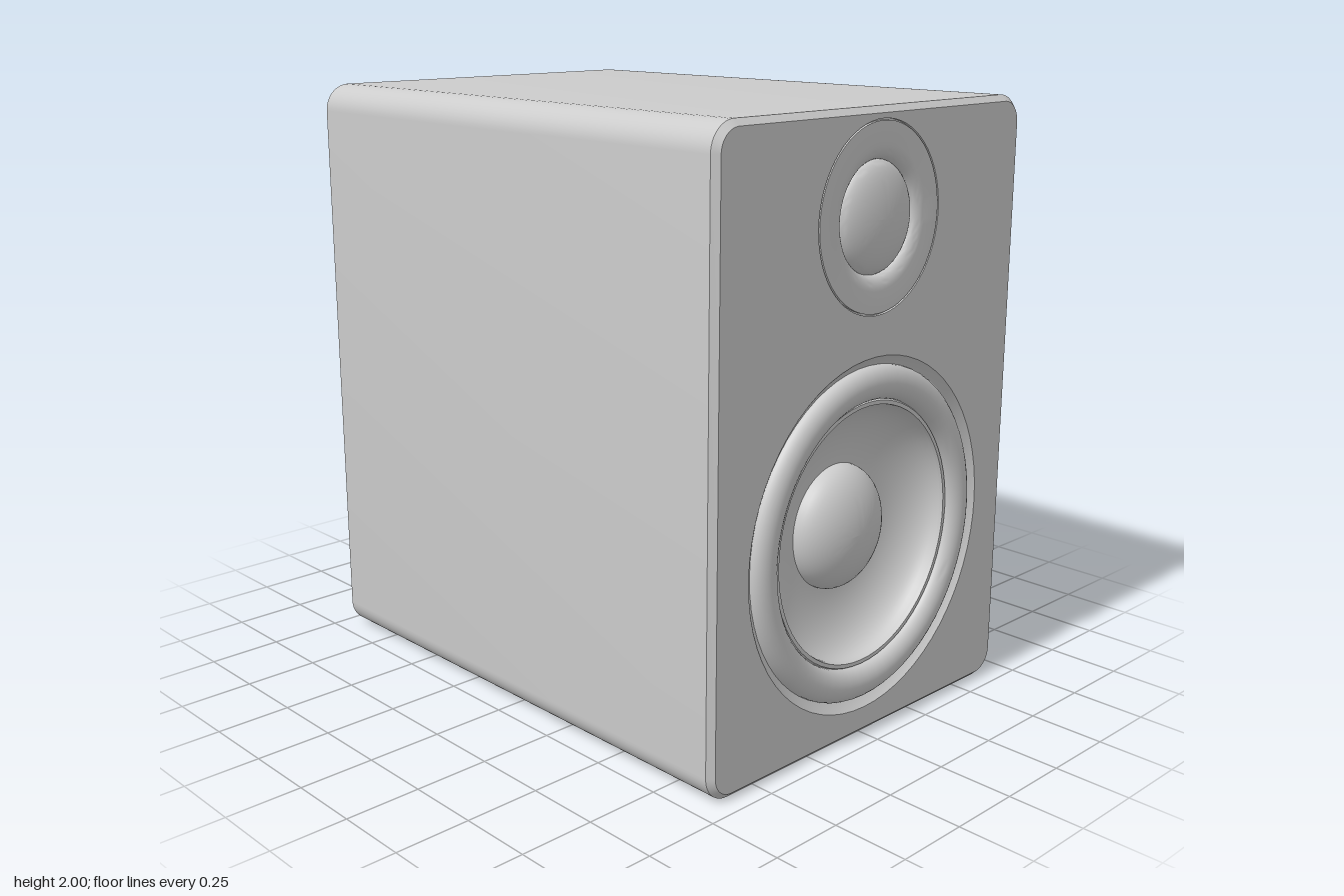
import * as THREE from 'three';
import { toCreasedNormals } from 'three/addons/utils/BufferGeometryUtils.js';

const FACE = 0.94, BACK = -0.97, BEVEL = 0.02;
const HALF_W = 0.7, HEIGHT = 2, CORNER = 0.09;
const OVAL = 1.05; // drivers are slightly taller than wide
const WOOFER_Y = 0.67, TWEETER_Y = 1.67;
const WOOFER_R = 0.55, TWEETER_R = 0.28;

const material = new THREE.MeshStandardMaterial({ color: 0xcccccc });

function addMesh(parent, name, geometry) {
  const mesh = new THREE.Mesh(geometry, material);
  mesh.name = name;
  parent.add(mesh);
}

// Rounded rectangle of the cabinet section, shrunk by an inset
function outline(inset) {
  const r = CORNER - inset, w = HALF_W - CORNER, lo = CORNER, hi = HEIGHT - CORNER;
  const q = Math.PI / 2;
  const s = new THREE.Shape();
  s.absarc(w, hi, r, 0, q);
  s.absarc(-w, hi, r, q, 2 * q);
  s.absarc(-w, lo, r, 2 * q, 3 * q);
  s.absarc(w, lo, r, 3 * q, 4 * q);
  return s;
}

// Side walls and bevels, joined from rings along the depth
function cabinetWalls() {
  const rings = [[BACK, BEVEL], [BACK + BEVEL, 0], [FACE - BEVEL, 0], [FACE, BEVEL]]
    .map(([d, inset]) => outline(inset).getPoints(6).map(p => new THREE.Vector3(p.x, p.y, d)));
  const points = [];
  for (let i = 0; i < rings.length - 1; i++) {
    const a = rings[i], b = rings[i + 1], n = a.length;
    for (let j = 0; j < n; j++) {
      const k = (j + 1) % n;
      points.push(a[j], a[k], b[k], a[j], b[k], b[j]);
    }
  }
  const g = new THREE.BufferGeometry().setFromPoints(points);
  return toCreasedNormals(g, 0.6).rotateY(Math.PI / 2);
}

function hole(y, r) {
  const p = new THREE.Path();
  p.absellipse(0, y, r, r * OVAL, 0, Math.PI * 2);
  return p;
}

// Points on an elliptical arc: centre radius, centre depth, half-axes, angles
function arc(r, d, a, b, from, to, n = 12) {
  return Array.from({ length: n + 1 }, (_, i) => {
    const t = from + (to - from) * i / n;
    return [Math.max(0, r + a * Math.cos(t)), d + b * Math.sin(t)];
  });
}

// Revolves [radius, depth] pairs, listed from the rim inwards, facing +x
function revolve(profile, y) {
  const g = new THREE.LatheGeometry(profile.map(p => new THREE.Vector2(...p)), 64);
  g.deleteAttribute('uv');
  g.rotateZ(-Math.PI / 2);
  g.scale(1, OVAL, 1);
  g.translate(0, y, 0);
  return toCreasedNormals(g, 0.6);
}

export function createModel() {
  const model = new THREE.Group();
  model.name = 'speaker';

  // Cabinet
  const cabinet = new THREE.Group();
  cabinet.name = 'cabinet';
  model.add(cabinet);
  addMesh(cabinet, 'walls', cabinetWalls());
  const front = outline(BEVEL);
  front.holes.push(hole(WOOFER_Y, WOOFER_R), hole(TWEETER_Y, TWEETER_R));
  addMesh(cabinet, 'frontBaffle',
    new THREE.ShapeGeometry(front, 32).rotateY(Math.PI / 2).translate(FACE, 0, 0));
  addMesh(cabinet, 'backPanel',
    new THREE.ShapeGeometry(outline(BEVEL), 6).rotateY(-Math.PI / 2).translate(BACK, 0, 0));

  // Woofer: chamfered seat, rolled surround, bowl-shaped cone, dust cap
  const woofer = new THREE.Group();
  woofer.name = 'woofer';
  model.add(woofer);
  addMesh(woofer, 'seat', revolve([[WOOFER_R, FACE], [0.535, 0.925], [0.52, 0.915]], WOOFER_Y));
  addMesh(woofer, 'surround', revolve(arc(0.468, 0.915, 0.052, 0.04, 0, Math.PI), WOOFER_Y));
  addMesh(woofer, 'coneLip', revolve([[0.416, 0.915], [0.412, 0.922], [0.4, 0.922], [0.398, 0.91]], WOOFER_Y));
  addMesh(woofer, 'cone', revolve(arc(0.19, 0.91, 0.208, 0.115, 0, -Math.PI / 2, 16), WOOFER_Y));
  addMesh(woofer, 'dustCap', revolve(arc(0, 0.793, 0.197, 0.115, 0, Math.PI / 2), WOOFER_Y));

  // Tweeter: flush plate with a fine groove round it, flared throat, dome
  const tweeter = new THREE.Group();
  tweeter.name = 'tweeter';
  model.add(tweeter);
  addMesh(tweeter, 'plate', revolve([
    [TWEETER_R, FACE], [TWEETER_R, 0.93], [0.275, 0.93], [0.275, FACE],
    ...arc(0.21, 0.91, 0.045, 0.03, Math.PI / 2, Math.PI, 8),
  ], TWEETER_Y));
  addMesh(tweeter, 'dome', revolve(arc(0, 0.908, 0.166, 0.057, 0, Math.PI / 2), TWEETER_Y));

  return model;
}
